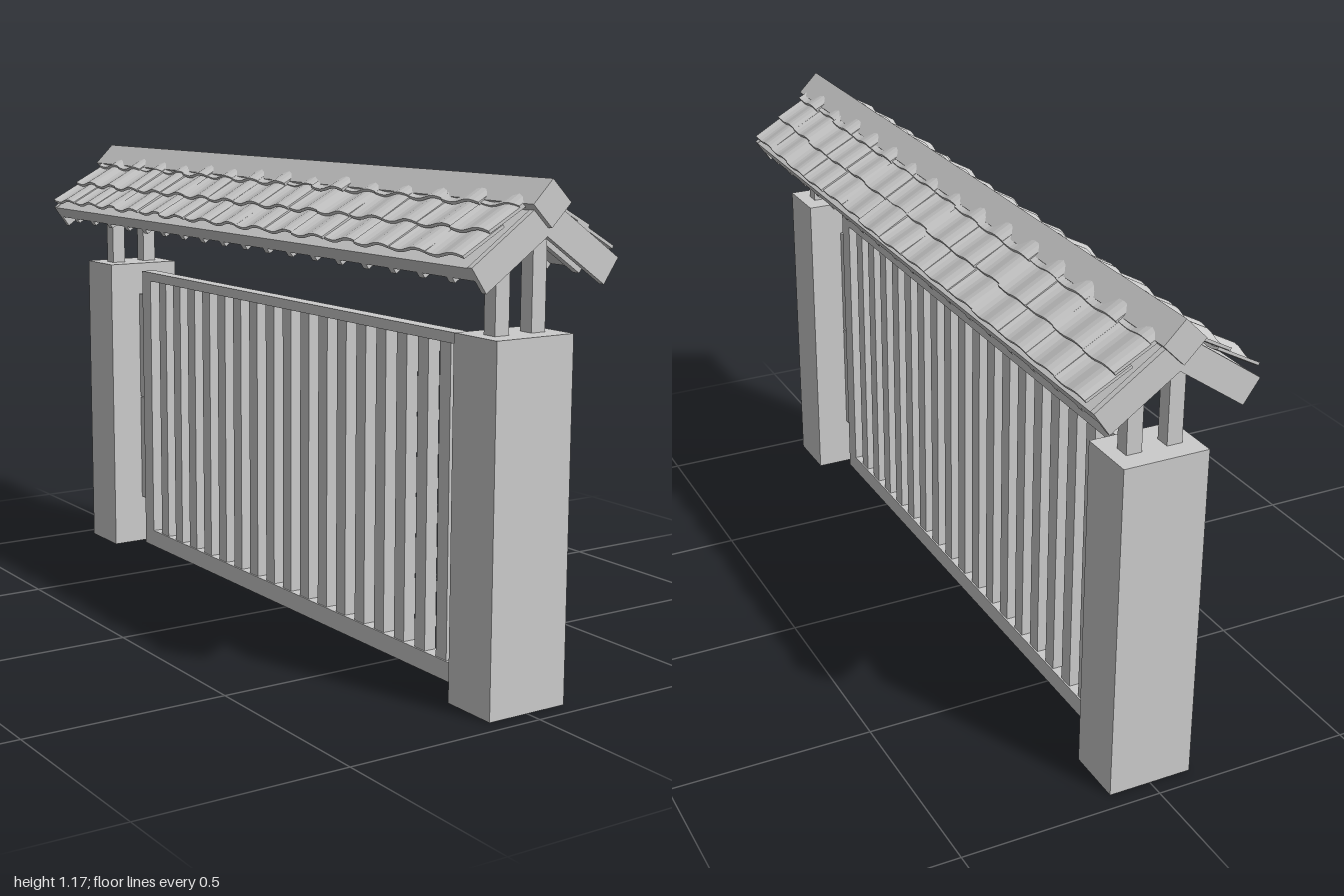
import * as THREE from 'three';

const material = new THREE.MeshStandardMaterial({ color: 0xcccccc, flatShading: true });

function add(parent, name, geometry, x = 0, y = 0, z = 0) {
  const mesh = new THREE.Mesh(geometry, material);
  mesh.name = name;
  mesh.position.set(x, y, z);
  parent.add(mesh);
  return mesh;
}

// Box given by its limits on each axis
function block(parent, name, [x0, x1], [y0, y1], [z0, z1]) {
  return add(parent, name, new THREE.BoxGeometry(x1 - x0, y1 - y0, z1 - z0),
    (x0 + x1) / 2, (y0 + y1) / 2, (z0 + z1) / 2);
}

// Gabled layer between two heights measured square to the roof slope
function gable(parent, name, low, high, depth, z) {
  const apex = t => [0, 1.05 + t / 0.82];
  const eave = (t, side) => [side * (0.16 + 0.57 * t), 0.94 + 0.82 * t];
  const points = [apex(low), eave(low, 1), eave(high, 1), apex(high), eave(high, -1), eave(low, -1)];
  const shape = new THREE.Shape(points.map(p => new THREE.Vector2(...p)));
  const geometry = new THREE.ExtrudeGeometry(shape, { depth, bevelEnabled: false });
  return add(parent, name, geometry, 0, 0, z - depth / 2);
}

// Small seeded generator for the uneven tile edges
function seeded(seed) {
  return () => {
    seed = (seed * 16807) % 2147483647;
    return seed / 2147483647;
  };
}

// Curved roof tile, running down along +x from its origin
function tileGeometry(length, width) {
  const geometry = new THREE.BoxGeometry(length, 0.007, width, 1, 1, 8);
  geometry.translate(length / 2, 0, 0);
  const p = geometry.attributes.position;
  for (let i = 0; i < p.count; i++) {
    const u = p.getZ(i) / width + 0.5;
    p.setY(i, p.getY(i) + 0.006 * Math.sin(u * Math.PI * 2));
  }
  geometry.computeVertexNormals();
  return geometry;
}

export function createModel() {
  const model = new THREE.Group();
  model.name = 'roofedGate';

  // Pillars, roof posts and hinge plates at both ends
  for (const end of [0, 1]) {
    const side = new THREE.Group();
    side.name = end ? 'backPillar' : 'frontPillar';
    side.rotation.y = end * Math.PI;
    block(side, 'pillar', [-0.105, 0.105], [0, 0.835], [0.81, 0.957]);
    for (const x of [-0.05, 0.05]) {
      block(side, 'roofPost', [x - 0.019, x + 0.019], [0.83, 1.035], [0.867, 0.905]);
    }
    block(side, 'lowerHingePlate', [-0.015, 0.015], [0.135, 0.437], [0.775, 0.815]);
    block(side, 'upperHingePlate', [-0.015, 0.015], [0.44, 0.745], [0.775, 0.815]);
    model.add(side);
  }

  // Slatted gate
  const gate = new THREE.Group();
  gate.name = 'gate';
  const thick = [-0.02, 0.02];
  block(gate, 'topRail', thick, [0.79, 0.815], [-0.73, 0.73]);
  block(gate, 'bottomRail', thick, [0, 0.047], [-0.73, 0.73]);
  for (const s of [-1, 1]) {
    block(gate, 'stile', thick, [0, 0.815], [s * 0.755 - 0.025, s * 0.755 + 0.025]);
  }
  for (let i = -8; i <= 8; i++) {
    const z = i * 0.0832;
    block(gate, 'slat', [-0.016, 0.016], [0.04, 0.795], [z - 0.02, z + 0.02]);
  }
  model.add(gate);

  // Roof deck, rafters, end boards and square ridge
  const roof = new THREE.Group();
  roof.name = 'roof';
  gable(roof, 'roofDeck', 0.032, 0.066, 1.95, 0);
  for (const s of [-1, 1]) gable(roof, 'endBoard', 0, 0.068, 0.015, s * 0.979);
  for (let i = 0; i < 18; i++) {
    gable(roof, 'rafter', 0.018, 0.036, 0.02, (i - 8.5) * 0.1042);
  }
  const ridge = add(roof, 'ridgeBeam', new THREE.BoxGeometry(0.0725, 0.0725, 2), 0, 1.12, 0);
  ridge.rotation.z = Math.PI / 4;

  // Three overlapping rows of wavy tiles on each slope
  const random = seeded(17);
  const pitch = 0.1285;
  const rows = [
    { x: 0.062, y: 1.112, length: 0.045 },
    { x: 0.137, y: 1.064, length: 0.115 },
    { x: 0.206, y: 1.016, length: 0.12 },
  ];
  for (const half of [0, 1]) {
    const slope = new THREE.Group();
    slope.name = half ? 'rightTiles' : 'leftTiles';
    slope.rotation.y = half * Math.PI;
    for (const row of rows) {
      const geometry = tileGeometry(row.length, pitch + 0.004);
      for (let i = 0; i < 15; i++) {
        const angle = 0.5 + (random() - 0.5) * 0.05;
        const edge = row.x + (random() - 0.5) * 0.01;
        const tile = add(slope, 'tile', geometry,
          edge - row.length * Math.cos(angle),
          row.y + row.length * Math.sin(angle),
          (i - 7) * pitch);
        tile.rotation.z = -angle;
      }
    }
    roof.add(slope);
  }
  model.add(roof);

  return model;
}
